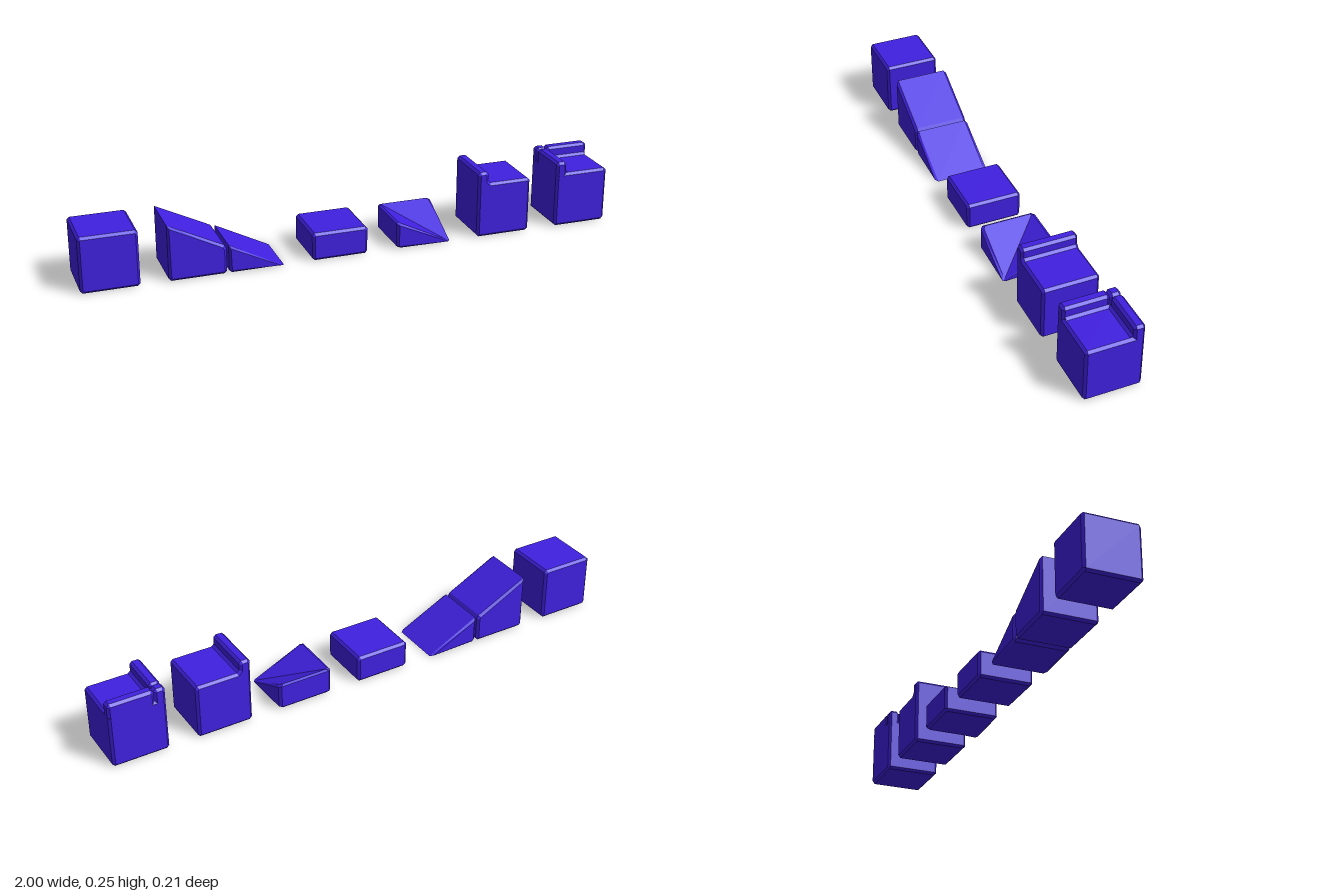
import * as THREE from 'three';

const U = 0.209;      // block size
const H = U / 2;      // half height
const C = 0.009;      // chamfer
const LIP = 0.041;    // lip thickness
const TOP = 0.2536;   // lip top

const material = new THREE.MeshStandardMaterial({ color: 0x4020e0, flatShading: true });

function mesh(name, geometry) {
  const m = new THREE.Mesh(geometry, material);
  m.name = name;
  return m;
}

// Profile points are [x, y, cut]; cut = 1 trims that corner by the chamfer
function chamferedShape(points) {
  const out = [];
  points.forEach(([x, y, cut], i) => {
    const p = new THREE.Vector2(x, y);
    if (!cut) return out.push(p);
    for (const j of [i + points.length - 1, i + 1]) {
      const q = points[j % points.length];
      const dir = new THREE.Vector2(q[0] - x, q[1] - y).normalize();
      out.push(p.clone().addScaledVector(dir, C));
    }
  });
  return new THREE.Shape(out);
}

// Solid with chamfered edges, profile in x/y, centred on z
function prism(points, depth = U) {
  const inner = depth - 2 * C;
  return new THREE.ExtrudeGeometry(chamferedShape(points), {
    depth: inner, bevelEnabled: true, bevelSegments: 1,
    bevelSize: C, bevelThickness: C, bevelOffset: -C,
  }).translate(0, 0, -inner / 2);
}

function box(x0, x1, y0, y1, z0, z1) {
  return prism([[x0, y0, 1], [x1, y0, 1], [x1, y1, 1], [x0, y1, 1]], z1 - z0)
    .translate(0, 0, (z0 + z1) / 2);
}

// Block with one low corner: two slopes meeting in a diagonal valley
function valleyRamp() {
  const ring = (s) => {
    const a = s - C, m = s - C / 2;
    return [[-m, -m], [-s, -a], [-s, a], [-a, s], [a, s],
      [m, m], [s, a], [s, -a], [a, -s], [-a, -s]];
  };
  const height = (x, z) => H * (1 - (Math.min(x, z) + H) / U);
  const levels = [
    [H - C, () => 0],
    [H, (h) => Math.min(C, h * 0.4)],
    [H, (h) => Math.max(h - C, h * 0.6)],
    [H - C, (h) => h],
  ];
  const pos = [], idx = [], n = 10;
  for (const [s, rule] of levels) {
    for (const [x, z] of ring(s)) pos.push(x, rule(height(x, z)), z);
  }
  for (let l = 0; l < 3; l++) {
    for (let i = 0; i < n; i++) {
      const a = l * n + i, b = l * n + (i + 1) % n;
      idx.push(a, b, b + n, a, b + n, a + n);
    }
  }
  for (let i = 1; i < n - 1; i++) {
    idx.push(0, i + 1, i, 3 * n, 3 * n + i, 3 * n + i + 1);
  }
  const g = new THREE.BufferGeometry();
  g.setAttribute('position', new THREE.Float32BufferAttribute(pos, 3));
  g.setIndex(idx);
  const flat = g.toNonIndexed();
  flat.computeVertexNormals();
  return flat;
}

// Small sloped strip at the foot of a lip, running along z
function fillet(side, length) {
  const shape = new THREE.Shape([[0, 0], [side * C, 0], [0, C]].map((p) => new THREE.Vector2(...p)));
  return new THREE.ExtrudeGeometry(shape, { depth: length, bevelEnabled: false });
}

// Cube with lips on its left-hand and back edges, meeting at a corner post
function cornerLipBlock() {
  const g = new THREE.Group();
  const low = U - 2 * C - 0.001, edge = -H + LIP;
  g.add(
    mesh('cornerBody', box(-H, H, 0, U, -H, H)),
    mesh('cornerPost', box(-H, edge, low, TOP, -H, edge)),
    mesh('sideLip', box(-H, edge, low, TOP, edge, H)),
    mesh('backLip', box(edge, H, low, TOP, -H, edge)),
    mesh('sideFillet', fillet(1, U - LIP - C).translate(edge, U, edge)),
    mesh('backFillet', fillet(-1, U - LIP - C).rotateY(Math.PI / 2).translate(edge, U, edge)),
  );
  return g;
}

export function createModel() {
  const group = new THREE.Group();
  const parts = [
    ['cube', -0.8955, mesh('cubeBody', box(-H, H, 0, U, -H, H))],
    ['upperRamp', -0.587, mesh('upperRampBody',
      prism([[-H, 0, 1], [H, 0, 1], [H, H, 1], [-H, U, 0]]))],
    ['lowerRamp', -0.37, mesh('lowerRampBody',
      prism([[-H, 0, 1], [H - 0.008, 0, 0], [-H, H, 0]]))],
    ['halfBlock', -0.0625, mesh('halfBlockBody', box(-H, H, 0, H, -H, H))],
    ['valleyRamp', 0.26, mesh('valleyRampBody', valleyRamp())],
    ['edgeLipBlock', 0.5775, mesh('edgeLipBody', prism([
      [-H, 0, 1], [H, 0, 1], [H, U, 1], [-H + LIP + C, U, 0],
      [-H + LIP, U + C, 0], [-H + LIP, TOP, 1], [-H, TOP, 1]]))],
    ['cornerLipBlock', 0.8955, cornerLipBlock()],
  ];
  for (const [name, x, object] of parts) {
    const holder = new THREE.Group();
    holder.name = name;
    holder.position.x = x;
    holder.add(object);
    group.add(holder);
  }
  return group;
}
